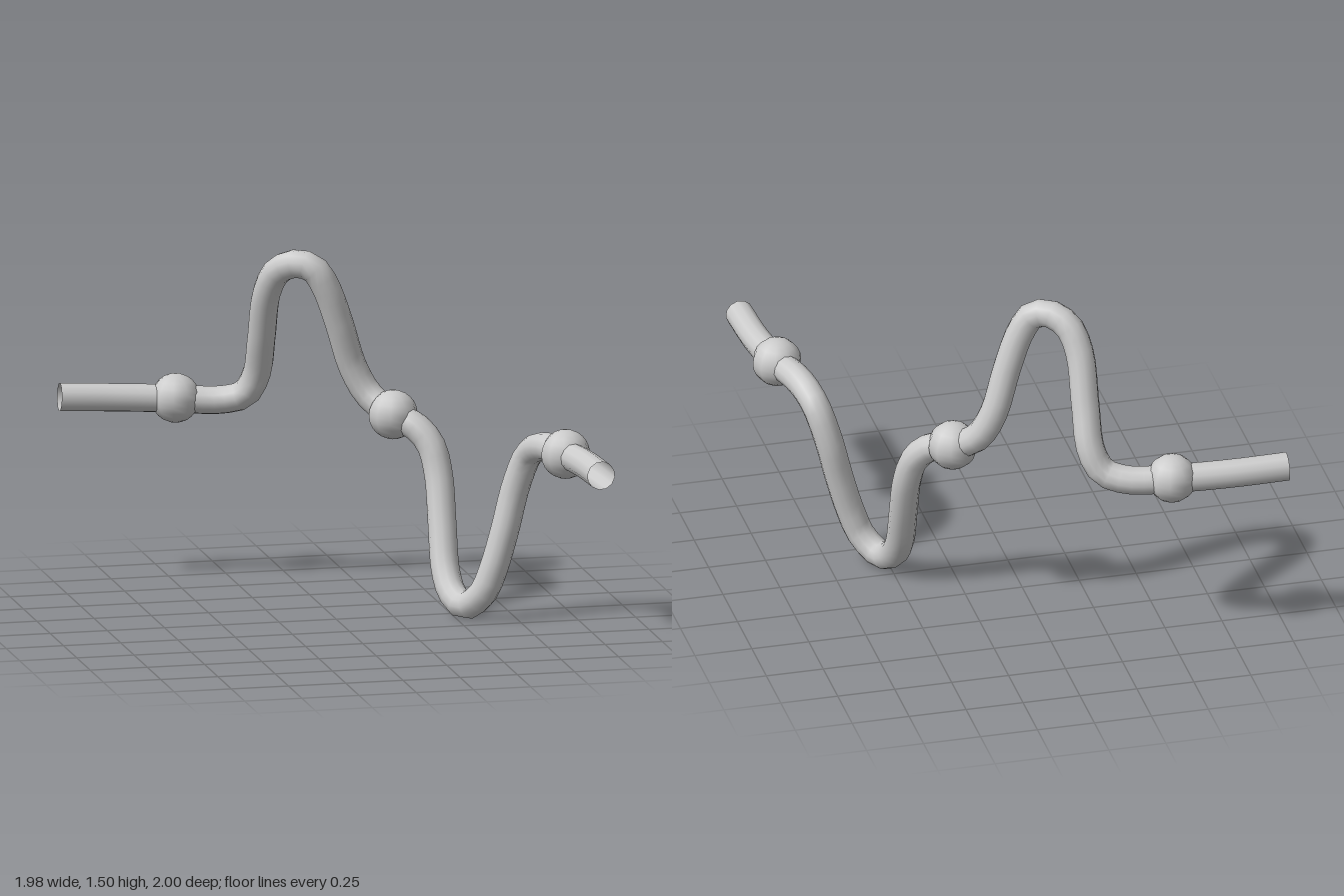
import * as THREE from 'three';

const v = (p) => new THREE.Vector3(...p);

export function createModel() {
  const model = new THREE.Group();
  model.name = 'bentTube';
  const material = new THREE.MeshStandardMaterial({ color: 0xcccccc, side: THREE.DoubleSide });

  // Centre line, from the back right end to the front left end
  const path = [
    [-0.99, 0.83, -0.94], [-0.75, 0.82, -0.925], [-0.49, 0.81, -0.89], [-0.31, 0.805, -0.845],
    // upward bend
    [-0.215, 0.835, -0.8], [-0.17, 0.93, -0.765], [-0.165, 1.1, -0.695], [-0.16, 1.32, -0.61],
    [-0.125, 1.42, -0.555], [-0.055, 1.46, -0.495], [0.01, 1.44, -0.46], [0.06, 1.36, -0.45],
    [0.12, 1.2, -0.46], [0.185, 1.0, -0.48], [0.25, 0.88, -0.455], [0.335, 0.81, -0.37],
    // downward bend
    [0.41, 0.775, -0.3], [0.47, 0.7, -0.25], [0.495, 0.58, -0.21], [0.495, 0.38, -0.14],
    [0.49, 0.19, -0.055], [0.505, 0.1, 0.02], [0.54, 0.067, 0.095], [0.6, 0.13, 0.165],
    [0.64, 0.23, 0.185], [0.69, 0.4, 0.19], [0.74, 0.6, 0.193], [0.785, 0.745, 0.24],
    [0.82, 0.8, 0.35], [0.875, 0.805, 0.545], [0.91, 0.805, 0.75], [0.925, 0.805, 1.0],
  ];
  const curve = new THREE.CatmullRomCurve3(path.map(v));
  const tube = new THREE.Mesh(new THREE.TubeGeometry(curve, 96, 0.061, 12, false), material);
  tube.name = 'tube';
  model.add(tube);

  // Ball joints threaded on the tube
  const ball = new THREE.SphereGeometry(0.106, 10, 12);
  [[-0.495, 0.813, -0.89], [0.335, 0.81, -0.37], [0.875, 0.806, 0.545]].forEach((p, i) => {
    const joint = new THREE.Mesh(ball, material);
    joint.name = `ballJoint${i + 1}`;
    joint.position.set(...p);
    model.add(joint);
  });
  return model;
}
